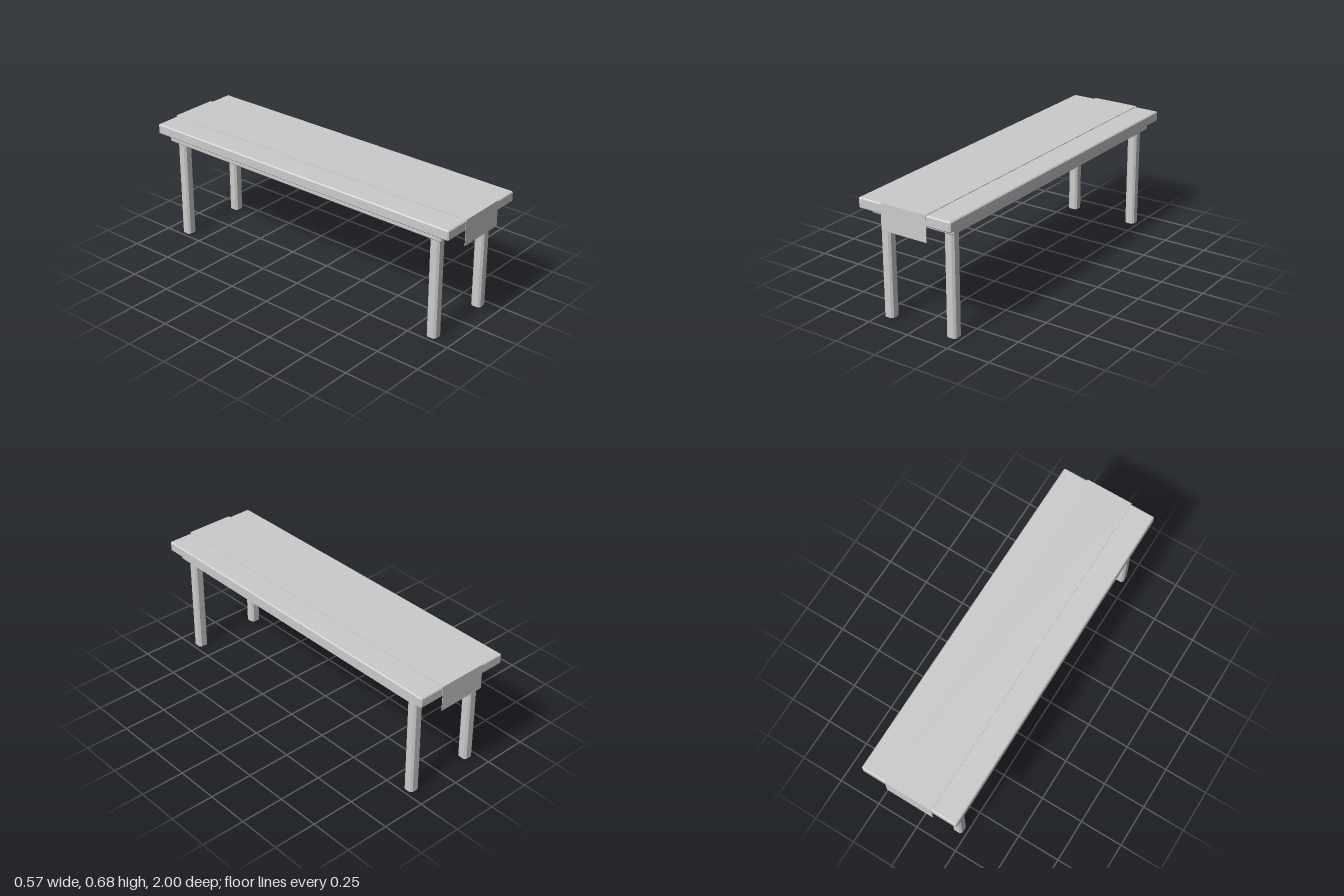
import * as THREE from 'three';

const grey = new THREE.MeshStandardMaterial({ color: 0xcccccc, flatShading: true });

// Loft of rectangles with cut corners; rings run from bottom to top as [y, inset, cornerCut].
function loft(halfX, halfZ, rings) {
  const loops = rings.map(([y, inset, cut]) => {
    const x = halfX - inset, z = halfZ - inset;
    return [
      [x, z - cut], [x, -z + cut], [x - cut, -z], [-x + cut, -z],
      [-x, -z + cut], [-x, z - cut], [-x + cut, z], [x - cut, z],
    ].map(([px, pz]) => [px, y, pz]);
  });
  const pos = [];
  const tri = (a, b, c) => pos.push(...a, ...b, ...c);
  for (let r = 0; r < loops.length - 1; r++) {
    for (let i = 0; i < 8; i++) {
      const j = (i + 1) % 8;
      const a = loops[r][i], b = loops[r][j], c = loops[r + 1][j], d = loops[r + 1][i];
      tri(a, b, c);
      tri(a, c, d);
    }
  }
  const bottom = loops[0], top = loops[loops.length - 1];
  for (let i = 1; i < 7; i++) {
    tri(top[0], top[i], top[i + 1]);
    tri(bottom[0], bottom[i + 1], bottom[i]);
  }
  const geometry = new THREE.BufferGeometry();
  geometry.setAttribute('position', new THREE.Float32BufferAttribute(pos, 3));
  geometry.computeVertexNormals();
  return geometry;
}

// Slab with every edge chamfered
function slab(halfX, halfZ, y0, y1, c) {
  return loft(halfX, halfZ, [[y0, c, 0], [y0 + c, 0, c], [y1 - c, 0, c], [y1, c, 0]]);
}

export function createModel() {
  const group = new THREE.Group();
  const add = (name, geometry) => {
    const mesh = new THREE.Mesh(geometry, grey);
    mesh.name = name;
    group.add(mesh);
    return mesh;
  };

  add('tableTop', slab(0.283, 0.997, 0.617, 0.675, 0.006));

  // Frame under the top, with a flared moulding above it
  add('apron', slab(0.254, 0.936, 0.577, 0.613, 0.006));
  add('moulding', loft(0.258, 0.94, [[0.607, 0.01, 0], [0.6175, 0, 0]]));

  // Square legs with cut corners
  const legGeometry = loft(0.029, 0.029, [[0, 0, 0.011], [0.58, 0, 0.011]]);
  for (const [sx, side] of [[1, 'Left'], [-1, 'Right']]) {
    for (const [sz, end] of [[1, 'front'], [-1, 'back']]) {
      add(`${end}${side}Leg`, legGeometry).position.set(sx * 0.199, 0, sz * 0.877);
    }
  }

  // Thin cloth runner folded down over both ends
  const outer = 1, inner = 0.9975, hem = 0.535, topY = 0.679, underY = 0.6755;
  const profile = new THREE.Shape([
    [-outer, hem], [-inner, hem], [-inner, underY], [inner, underY],
    [inner, hem], [outer, hem], [outer, topY], [-outer, topY],
  ].map(([u, v]) => new THREE.Vector2(u, v)));
  const cloth = new THREE.ExtrudeGeometry(profile, { depth: 0.278, bevelEnabled: false });
  cloth.translate(0, 0, -0.139).rotateY(Math.PI / 2);
  add('tableRunner', cloth);

  return group;
}
